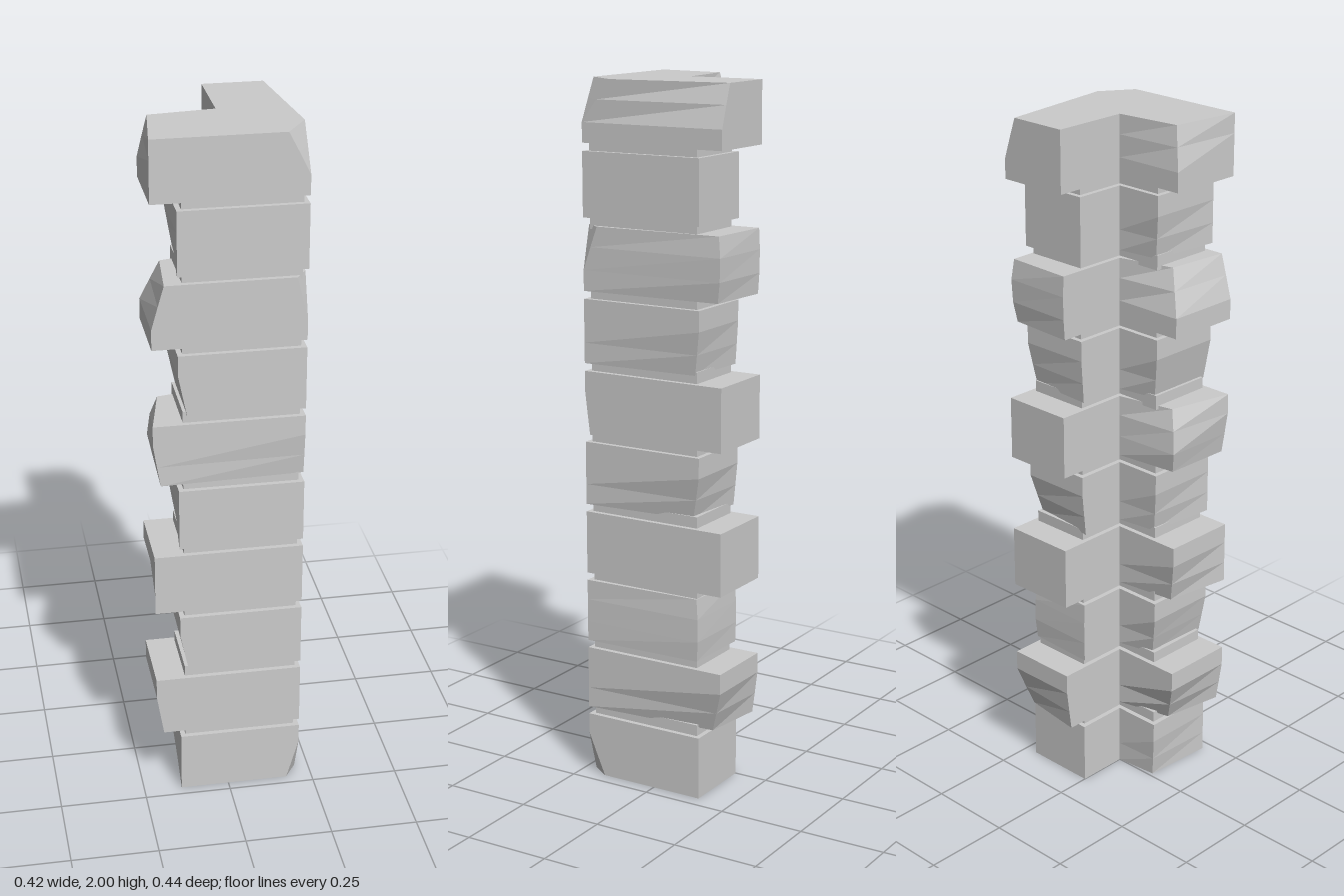
import * as THREE from 'three';

const X = 0.21, Z = 0.22, PITCH = 0.203, JOINT = 0.022;
const LEVELS = [0, 0.32, 0.68, 1]; // ring heights inside a block

// L-shaped plan: 0,1 = end of the x leg, 2,3 = outer corner (doubled so it can
// be chipped), 4,5 = end of the z leg, 6 = inner corner
const plan = (a, b, inset = 0) => [
  [a + inset, inset], [a + inset, Z - inset],
  [X - inset, Z - inset], [X - inset, Z - inset],
  [X - inset, b + inset], [inset, b + inset], [inset, inset],
];

// Wear rules: each moves plan corners inward by an amount d
const WEAR = {
  xInner: (p, d) => { p[0].x += d; p[0].z += 0.8 * d; },
  xOuter: (p, d) => { p[1].x += d; },
  zEnd: (p, d) => { p[4].x -= 0.7 * d; p[4].z += d; p[5].z += 0.4 * d; },
  zOuter: (p, d) => { p[4].x -= d; },
  corner: (p, d) => { p[2].x -= d; p[3].z -= 1.5 * d; },
  front: (p, d) => { p[2].z -= d; p[3].z -= d; },
};

// Stacks four plan rings, worn most at the foot and the head
function blockGeometry(points, y0, y1, { foot = {}, head = {} } = {}) {
  const rings = LEVELS.map((t) => {
    const ring = points.map(([x, z]) => new THREE.Vector3(x, THREE.MathUtils.lerp(y0, y1, t), z));
    for (const key in foot) WEAR[key](ring, foot[key] * Math.max(0, 1 - 1.5 * t));
    for (const key in head) WEAR[key](ring, head[key] * Math.max(0, 1.5 * t - 0.5));
    return ring;
  });
  const out = [];
  const area = new THREE.Triangle();
  const tri = (a, b, c) => {
    if (area.set(a, b, c).getArea() > 1e-7) for (const v of [a, b, c]) out.push(v.x, v.y, v.z);
  };
  const n = points.length;
  for (let r = 0; r < 3; r++) {
    for (let i = 0; i < n; i++) {
      const j = (i + 1) % n, lo = rings[r], hi = rings[r + 1];
      tri(lo[i], lo[j], hi[j]);
      tri(lo[i], hi[j], hi[i]);
    }
  }
  // Caps fan out from the inner corner
  for (let i = 0; i < n - 2; i++) {
    tri(rings[3][6], rings[3][i], rings[3][i + 1]);
    tri(rings[0][6], rings[0][i + 1], rings[0][i]);
  }
  const g = new THREE.BufferGeometry();
  g.setAttribute('position', new THREE.Float32BufferAttribute(out, 3));
  g.computeVertexNormals();
  return g;
}

// Wear of every block, from the ground up
const BLOCKS = [
  { foot: { corner: 0.035, xInner: 0.015 } },
  { foot: { xInner: 0.05, xOuter: 0.02, zEnd: 0.04 } },
  { foot: { xInner: 0.03, xOuter: 0.025, zEnd: 0.01 }, head: { zEnd: 0.012 } },
  { foot: { xInner: 0.03 } },
  { foot: { xInner: 0.02, zEnd: 0.03 } },
  { foot: { xInner: 0.025, xOuter: 0.02, front: 0.015 }, head: { xInner: 0.04 } },
  { foot: { xInner: 0.025, xOuter: 0.025, zEnd: 0.02 } },
  { foot: { zEnd: 0.02 }, head: { xInner: 0.05, xOuter: 0.035, zEnd: 0.015, corner: 0.03 } },
  { foot: { xInner: 0.02 } },
  { head: { xInner: 0.025, zOuter: 0.04, corner: 0.06 } },
];

export function createModel() {
  const model = new THREE.Group();
  model.name = 'cornerStones';
  const stone = new THREE.MeshStandardMaterial({ color: 0xcccccc, flatShading: true });
  const add = (name, geometry) => {
    const mesh = new THREE.Mesh(geometry, stone);
    mesh.name = name;
    model.add(mesh);
  };

  // Short and long blocks alternate
  BLOCKS.forEach((wear, i) => {
    const long = i % 2 === 1;
    const y0 = i * PITCH;
    const last = i === BLOCKS.length - 1;
    const y1 = last ? 2 : y0 + PITCH - JOINT;
    add(`${long ? 'long' : 'short'}Block${i + 1}`,
      blockGeometry(plan(long ? -X : -0.14, long ? -Z : -0.15), y0, y1, wear));
    // Recessed joint up to the next block
    if (!last) {
      add(`joint${i + 1}`, blockGeometry(plan(-0.14, -0.15, 0.014), y1 - 0.01, y1 + JOINT + 0.01));
    }
  });
  return model;
}
